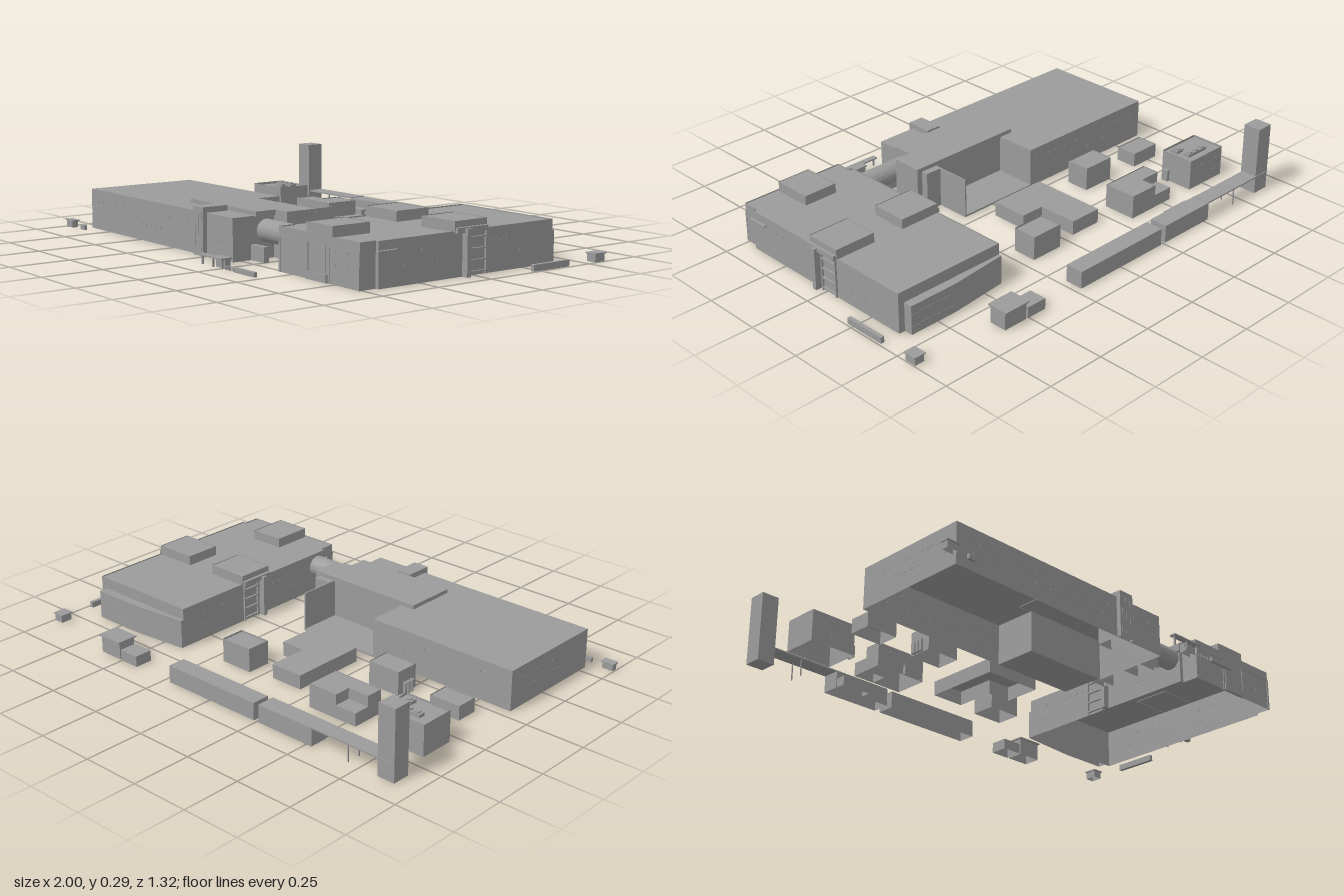
import * as THREE from 'three';
import { mergeGeometries } from 'three/addons/utils/BufferGeometryUtils.js';

const grey = new THREE.MeshStandardMaterial({ color: 0x9b9b9b, side: THREE.DoubleSide, flatShading: true });

export function createModel() {
  const model = new THREE.Group();
  // Centres the site plan
  model.position.set(0.003, 0, 0.004);

  function add(name, geometry, parent = model) {
    const mesh = new THREE.Mesh(geometry, grey);
    mesh.name = name;
    parent.add(mesh);
    return mesh;
  }

  // Solid block given by its limits
  function block(name, x0, x1, y0, y1, z0, z1, parent) {
    const m = add(name, new THREE.BoxGeometry(x1 - x0, y1 - y0, z1 - z0), parent);
    m.position.set((x0 + x1) / 2, (y0 + y1) / 2, (z0 + z1) / 2);
    return m;
  }

  // Building shell, open underneath: walls around an [x, z] outline and a roof sunk by the parapet height
  function shell(name, outline, height, parapet = 0, base = 0) {
    const shape = new THREE.Shape(outline.map(([x, z]) => new THREE.Vector2(x, -z)));
    const roof = new THREE.ShapeGeometry(shape).rotateX(-Math.PI / 2).translate(0, height - parapet, 0).toNonIndexed();
    roof.deleteAttribute('uv');
    const pos = [];
    outline.forEach(([ax, az], i) => {
      const [bx, bz] = outline[(i + 1) % outline.length];
      pos.push(ax, base, az, bx, base, bz, bx, height, bz, ax, base, az, bx, height, bz, ax, height, az);
    });
    const walls = new THREE.BufferGeometry();
    walls.setAttribute('position', new THREE.Float32BufferAttribute(pos, 3));
    walls.computeVertexNormals();
    return add(name, mergeGeometries([roof, walls]));
  }

  // Rectangle outline, running so that the walls face outward
  const rect = (x0, x1, z0, z1) => [[x0, z1], [x1, z1], [x1, z0], [x0, z0]];

  // Row of nearly flush windows along a wall; axis is the wall's direction
  function windows(axis, from, to, at, y, count) {
    const row = new THREE.Group();
    row.name = 'windowRow';
    const step = (to - from) / count, t = 0.0006;
    for (let i = 0; i < count; i++) {
      const a = from + step * (i + 0.2), b = from + step * (i + 0.8);
      if (axis === 'x') block('window', a, b, y, y + 0.008, at - t, at + t, row);
      else block('window', at - t, at + t, y, y + 0.008, a, b, row);
    }
    model.add(row);
  }

  // Long hall with a yard cut into its back corner
  shell('mainHall', [[-0.898, 0.535], [0.165, 0.535], [0.165, 0.22], [-0.22, 0.22], [-0.22, 0.04], [-0.898, 0.04]], 0.168);
  block('yardFloor', -0.22, 0.15, 0, 0.008, 0.04, 0.22);
  block('yardWall', 0.147, 0.153, 0, 0.168, 0.04, 0.22);
  shell('raisedRoof', [[-0.28, 0.435], [0.175, 0.435], [0.175, 0.345], [0.25, 0.345], [0.25, 0.215], [-0.28, 0.215]], 0.185, 0, 0.165);
  shell('hallAnnex', rect(0.165, 0.25, 0.215, 0.345), 0.18);
  shell('hallStair', rect(0.15, 0.225, 0.185, 0.22), 0.168);
  shell('hallPorch', rect(0.165, 0.25, 0.43, 0.452), 0.06);
  shell('hallTower', rect(-0.08, -0.01, 0.44, 0.553), 0.19);
  for (let i = 0; i < 3; i++) block('towerLouvre', -0.07 + i * 0.022, -0.064 + i * 0.022, 0.02, 0.17, 0.552, 0.554);
  for (const y of [0.065, 0.115]) {
    windows('x', -0.86, -0.1, 0.535, y, 22);
    windows('x', 0.01, 0.15, 0.535, y, 5);
    windows('x', -0.86, -0.25, 0.04, y, 18);
    windows('z', 0.08, 0.5, -0.898, y, 10);
  }

  // Tubular link between the two large buildings
  const tube = new THREE.CylinderGeometry(0.044, 0.044, 0.23, 24, 1, true).rotateZ(Math.PI / 2);
  add('linkTube', tube).position.set(0.288, 0.11, 0.387);

  // Office building
  shell('officeBuilding', [[0.42, 0.505], [0.885, 0.505], [0.885, 0.435], [0.9, 0.435], [0.9, -0.405],
    [0.403, -0.405], [0.403, 0.435], [0.42, 0.435]], 0.168, 0.005);
  shell('officeBackWing', [[0.403, -0.405], [0.873, -0.405], [0.873, -0.442], [0.66, -0.442], [0.403, -0.418]], 0.12);
  for (const y of [0.03, 0.08]) block('backLedge', 0.66, 0.873, y, y + 0.004, -0.443, -0.405);
  for (const [x0, x1, z0, z1] of [[0.402, 0.582, -0.069, 0.086], [0.72, 0.901, -0.069, 0.086], [0.576, 0.726, 0.33, 0.498]])
    shell('roofHouse', rect(x0, x1, z0, z1), 0.204, 0.003, 0.16);
  for (const y of [0.065, 0.115]) {
    windows('z', -0.37, -0.09, 0.9, y, 8);
    windows('z', 0.1, 0.4, 0.9, y, 8);
    windows('z', -0.37, -0.09, 0.403, y, 8);
    windows('z', 0.1, 0.32, 0.403, y, 6);
    windows('x', 0.44, 0.59, 0.505, y, 4);
    windows('x', 0.72, 0.87, 0.505, y, 4);
  }

  // Matching side stairs, fins and canopies on both office flanks
  for (const s of [-1, 1]) {
    const wall = s < 0 ? 0.403 : 0.9;
    const side = (name, out, y0, y1, z0, z1) =>
      block(name, Math.min(wall, wall + s * out), Math.max(wall, wall + s * out), y0, y1, z0, z1);
    side('stairFin', 0.027, 0, 0.175, 0.03, 0.048);
    side('stairRoof', 0.014, 0.16, 0.18, -0.065, 0.082);
    for (let i = 0; i < 4; i++) side('stairLanding', 0.008, 0.01 + i * 0.042, 0.016 + i * 0.042, -0.065, 0.018);
    for (const z of [-0.065, 0.013]) side('stairFrame', 0.008, 0, 0.165, z, z + 0.005);
    side('sideCanopy', 0.012, 0.128, 0.134, 0.355, 0.445);
    const c = s < 0 ? 0.507 : 0.798;
    block('frontCanopy', c - 0.088, c + 0.088, 0.128, 0.134, 0.5, 0.508);
    for (const x of [c - 0.084, c + 0.084]) block('frontColumn', x - 0.004, x + 0.004, 0, 0.13, 0.5, 0.508);
  }
  block('entranceStep', 0.593, 0.705, 0, 0.03, 0.5, 0.513);
  block('entranceBay', 0.605, 0.695, 0.03, 0.13, 0.503, 0.508);

  // Plant building with roof fans
  shell('plantBuilding', rect(-0.873, -0.67, -0.444, -0.294), 0.13, 0.01);
  shell('plantPorch', rect(-0.67, -0.657, -0.334, -0.304), 0.05);
  block('fanHousing', -0.819, -0.705, 0.12, 0.134, -0.404, -0.375);
  block('fanHousing', -0.734, -0.694, 0.12, 0.134, -0.35, -0.316);
  for (const [x, z] of [[-0.798, -0.389], [-0.762, -0.389], [-0.726, -0.389], [-0.714, -0.333]])
    add('roofFan', new THREE.CylinderGeometry(0.013, 0.013, 0.006, 16)).position.set(x, 0.137, z);
  for (const y of [0.04, 0.085]) {
    windows('x', -0.85, -0.69, -0.444, y, 5);
    windows('x', -0.85, -0.69, -0.294, y, 5);
  }

  // Service block with a lower corner
  shell('serviceBlock', [[-0.548, -0.295], [-0.318, -0.295], [-0.318, -0.439], [-0.453, -0.439], [-0.453, -0.369], [-0.548, -0.369]], 0.1, 0.004);
  shell('serviceCorner', rect(-0.548, -0.453, -0.439, -0.369), 0.055);
  shell('servicePorch', rect(-0.42, -0.335, -0.295, -0.282), 0.04);
  for (const y of [0.03, 0.07]) windows('x', -0.53, -0.34, -0.295, y, 6);

  // Smaller yard buildings
  shell('lowStore', rect(-0.8, -0.662, -0.147, -0.053), 0.06, 0.005);
  shell('pumpHouse', rect(-0.508, -0.362, -0.147, -0.044), 0.1, 0.005);
  for (const z of [-0.118, -0.098, -0.078])
    add('pumpTank', new THREE.CylinderGeometry(0.008, 0.008, 0.05, 10)).position.set(-0.518, 0.025, z);
  shell('cornerStore', [[-0.197, -0.033], [0.055, -0.033], [0.055, -0.19], [-0.051, -0.19], [-0.051, -0.36], [-0.197, -0.36]], 0.06);
  shell('workshop', rect(0.05, 0.195, -0.387, -0.282), 0.1, 0.008);

  // Chimney and the row of sheds along the back
  block('chimney', -0.913, -0.837, 0, 0.29, -0.652, -0.577);
  block('shelterRoof', -0.913, -0.525, 0.072, 0.078, -0.655, -0.584);
  for (const z of [-0.65, -0.592]) block('shelterPost', -0.7, -0.696, 0, 0.074, z, z + 0.004);
  shell('backShed', rect(-0.528, -0.263, -0.655, -0.579), 0.075);
  shell('shedPorch', rect(-0.525, -0.395, -0.579, -0.535), 0.04);
  shell('backShed', rect(-0.238, 0.218, -0.655, -0.579), 0.072);
  shell('lowShed', rect(0.412, 0.503, -0.655, -0.579), 0.045);
  shell('tallShed', rect(0.51, 0.617, -0.654, -0.579), 0.074);
  block('tallShedRoof', 0.503, 0.622, 0.072, 0.078, -0.664, -0.571);

  // Gate huts, with overhanging roofs
  for (const [x0, x1, z0, z1, h] of [[0.95, 0.992, -0.592, -0.542, 0.03], [-0.998, -0.95, 0.577, 0.603, 0.027], [0.195, 0.255, 0.608, 0.632, 0.035]]) {
    shell('gateHut', rect(x0, x1, z0, z1), h);
    block('hutRoof', x0 - 0.005, x1 + 0.005, h, h + 0.005, z0 - 0.004, z1 + 0.004);
  }
  block('kiosk', -0.893, -0.857, 0, 0.02, 0.585, 0.597);

  // Boundary walls and front gate
  block('sideWall', 0.972, 0.988, 0, 0.025, -0.407, -0.224);
  block('gateCanopy', 0.112, 0.262, 0.034, 0.04, 0.629, 0.654);
  for (const x of [0.12, 0.19, 0.25]) block('gatePost', x, x + 0.006, 0, 0.035, 0.639, 0.646);
  block('gateRail', 0.26, 0.34, 0.012, 0.015, 0.639, 0.642);
  for (let i = 0; i < 8; i++) block('gateBar', 0.268 + i * 0.009, 0.27 + i * 0.009, 0, 0.014, 0.639, 0.642);
  block('frontWall', 0.337, 0.463, 0, 0.018, 0.634, 0.648);

  return model;
}
